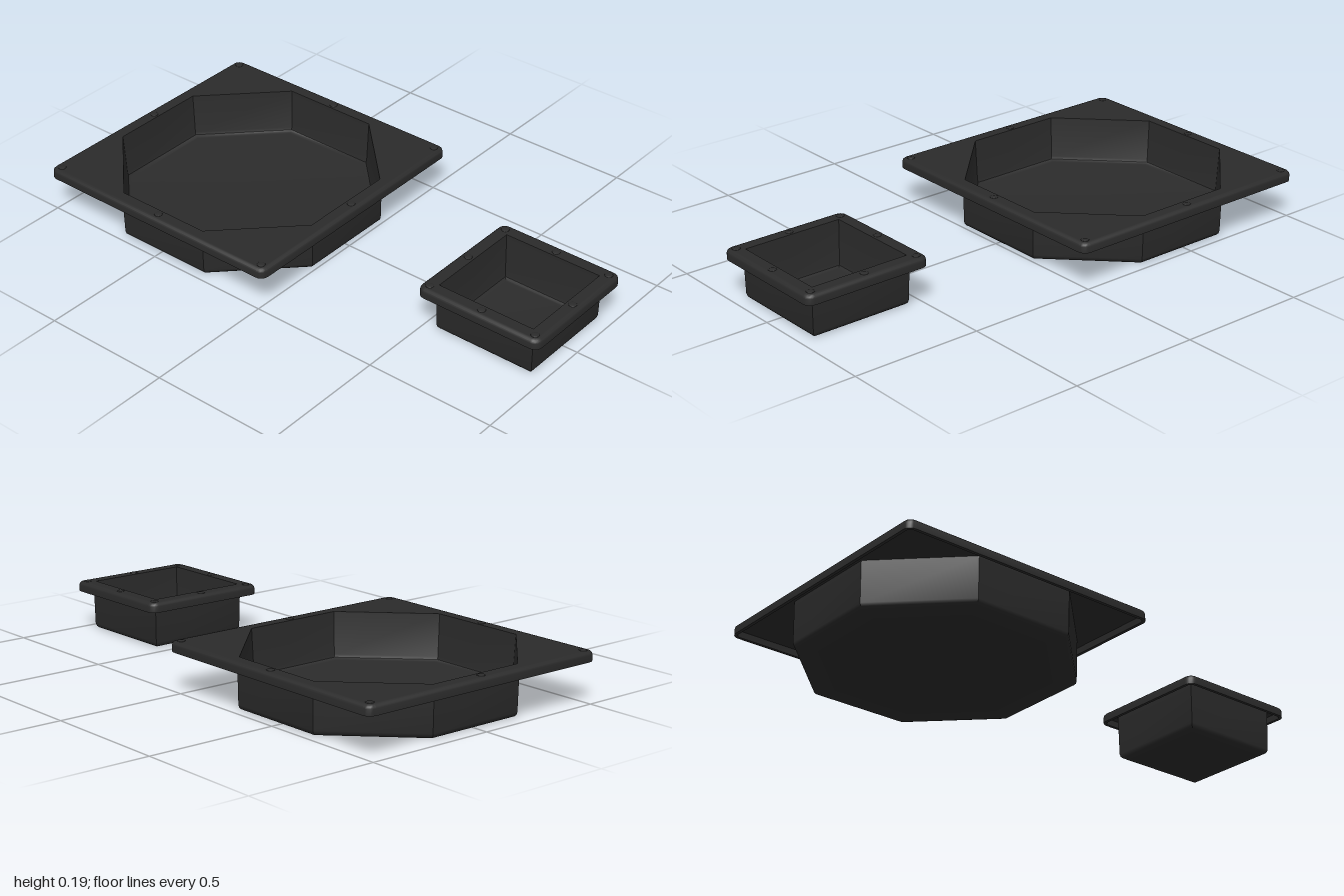
import * as THREE from 'three';
import { toCreasedNormals } from 'three/addons/utils/BufferGeometryUtils.js';

const RIM_TOP = 0.187, RIM_UNDER = 0.175, RIM_LOW = 0.15;

// Regular polygon given by the distance from its centre to its sides
function polygonRing(sides, apothem) {
  const radius = apothem / Math.cos(Math.PI / sides);
  return Array.from({ length: sides }, (_, i) => {
    const a = (i + 0.5) * 2 * Math.PI / sides;
    return new THREE.Vector2(radius * Math.sin(a), radius * Math.cos(a));
  });
}

// Square with rounded corners
function squareRing(half, inset) {
  const r = Math.max(0.03 - inset, 0.006), c = half - inset - r, steps = 5, ring = [];
  for (let k = 0; k < 4; k++) {
    const mid = Math.PI / 4 + k * Math.PI / 2;
    for (let s = 0; s <= steps; s++) {
      const a = (k + s / steps) * Math.PI / 2;
      ring.push(new THREE.Vector2(
        Math.sign(Math.sin(mid)) * c + r * Math.sin(a),
        Math.sign(Math.cos(mid)) * c + r * Math.cos(a)));
    }
  }
  return ring;
}

// Skin through a series of [ring, height] sections
function loft(sections) {
  const n = sections[0][0].length, pos = [], idx = [];
  for (const [ring, y] of sections) for (const p of ring) pos.push(p.x, y, p.y);
  for (let j = 0; j < sections.length - 1; j++) {
    for (let i = 0; i < n; i++) {
      const a = j * n + i, b = j * n + (i + 1) % n;
      idx.push(a, b, b + n, a, b + n, a + n);
    }
  }
  const g = new THREE.BufferGeometry();
  g.setAttribute('position', new THREE.Float32BufferAttribute(pos, 3));
  g.setIndex(idx);
  return toCreasedNormals(g, 0.6);
}

// Flat sheet with an opening, facing up or down
function sheet(outer, hole, y, up) {
  const shape = new THREE.Shape(outer);
  shape.holes.push(new THREE.Path(hole));
  const g = new THREE.ShapeGeometry(shape);
  g.rotateX(up ? -Math.PI / 2 : Math.PI / 2);
  return g.translate(0, y, 0);
}

function makeTray(name, sides, half, basin, material) {
  const tray = new THREE.Group();
  tray.name = name;
  const add = (part, geometry) => {
    const mesh = new THREE.Mesh(geometry, material);
    mesh.name = part;
    tray.add(mesh);
    return mesh;
  };
  const basinSections = (profile) =>
    profile.map(([inset, y]) => [polygonRing(sides, Math.max(basin - inset, 0)), y]);

  // Basin: outside from the base upward, inside from the rim down to the floor
  add('basinOutside', loft(basinSections(
    [[basin, 0], [0.022, 0], [0.012, 0.003], [0.006, 0.009], [0.003, 0.02], [0, RIM_UNDER]])));
  add('basinInside', loft(basinSections(
    [[0.007, RIM_TOP], [0.015, 0.028], [0.018, 0.017], [0.026, 0.011], [0.034, 0.01], [basin, 0.01]])));

  // Rim: flat top, hollow underside and a turned-down lip
  add('rimTop', sheet(squareRing(half, 0.015), polygonRing(sides, basin - 0.007), RIM_TOP, true));
  add('rimUnderside', sheet(squareRing(half, 0.012), polygonRing(sides, basin), RIM_UNDER, false));
  const lip = [[0.012, RIM_UNDER], [0.012, RIM_LOW], [0, RIM_LOW], [0, 0.173],
    [0.002, 0.18], [0.007, 0.185], [0.015, RIM_TOP]];
  add('rimLip', loft(lip.map(([inset, y]) => [squareRing(half, inset), y])));

  // Low studs at the corners and side middles of the rim
  const dome = new THREE.SphereGeometry(0.015, 14, 5, 0, Math.PI * 2, 0, Math.PI / 2);
  dome.scale(1, 0.25, 1);
  for (const x of [-1, 0, 1]) {
    for (const z of [-1, 0, 1]) {
      if (x || z) add('rimStud', dome).position.set(x * (half - 0.032), RIM_TOP, z * (half - 0.032));
    }
  }
  return tray;
}

export function createModel() {
  const model = new THREE.Group();
  model.name = 'trays';
  const plastic = new THREE.MeshStandardMaterial({ color: 0x2b2b2b });
  plastic.name = 'black plastic';

  const large = makeTray('largeOctagonalTray', 8, 0.52, 0.473, plastic);
  large.position.z = -0.48;
  const small = makeTray('smallSquareTray', 4, 0.25, 0.202, plastic);
  small.position.z = 0.75;
  model.add(large, small);
  return model;
}
